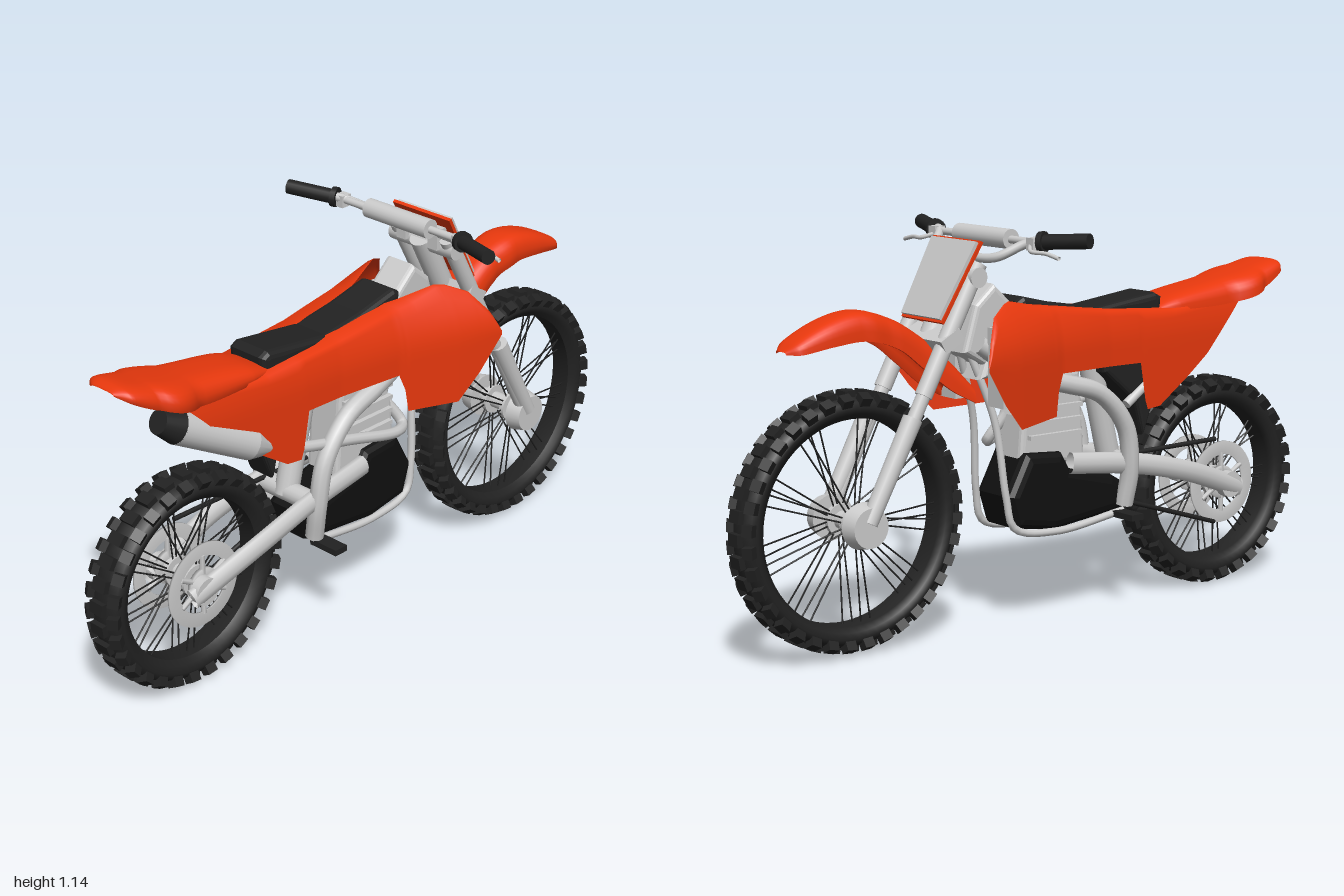
import * as THREE from 'three';
import { mergeGeometries } from 'three/addons/utils/BufferGeometryUtils.js';

const paint = (color) => new THREE.MeshStandardMaterial({ color, side: THREE.DoubleSide });
const V = (x, y, z) => new THREE.Vector3(x, y, z);

export function createModel() {
  const model = new THREE.Group();
  const grey = paint(0xcccccc), orange = paint(0xe8380d), black = paint(0x222222), engineBlack = paint(0x101010);

  const add = (name, geo, mat, parent = model) => {
    const m = new THREE.Mesh(geo, mat);
    m.name = name;
    parent.add(m);
    return m;
  };
  // Straight cylinder between two points
  const rod = (a, b, r1, r2 = r1, sides = 16) => {
    const d = b.clone().sub(a);
    const g = new THREE.CylinderGeometry(r2, r1, d.length(), sides);
    g.applyQuaternion(new THREE.Quaternion().setFromUnitVectors(V(0, 1, 0), d.normalize()));
    return g.translate((a.x + b.x) / 2, (a.y + b.y) / 2, (a.z + b.z) / 2);
  };
  const tube = (pts, r, seg = 40) =>
    new THREE.TubeGeometry(new THREE.CatmullRomCurve3(pts.map((p) => V(...p)), false, 'centripetal'), seg, r, 10);
  const box = (w, h, d, x, y, z) => new THREE.BoxGeometry(w, h, d).translate(x, y, z);
  // Side profile given as (z, y), extruded across x
  const slab = (pts, width, bevel = 0.015) => {
    const g = new THREE.ExtrudeGeometry(new THREE.Shape(pts.map((p) => new THREE.Vector2(...p))), {
      depth: width - 2 * bevel, bevelSize: bevel, bevelThickness: bevel, bevelOffset: -bevel, bevelSegments: 3 });
    return g.translate(0, 0, -width / 2 + bevel).rotateY(-Math.PI / 2);
  };
  // Surface through rows of points
  const loft = (rows) => {
    const n = rows[0].length, pos = rows.flat().flatMap((p) => [p.x, p.y, p.z]), idx = [];
    for (let i = 0; i < rows.length - 1; i++)
      for (let j = 0; j < n - 1; j++) {
        const a = i * n + j, b = a + n;
        idx.push(a, b, a + 1, b, b + 1, a + 1);
      }
    const g = new THREE.BufferGeometry();
    g.setAttribute('position', new THREE.Float32BufferAttribute(pos, 3));
    g.setIndex(idx);
    g.computeVertexNormals();
    return g;
  };
  // Piecewise linear lookup
  const look = (table, z) => {
    let i = 1;
    while (i < table.length - 1 && z > table[i][0]) i++;
    const [a, b] = [table[i - 1], table[i]];
    return THREE.MathUtils.lerp(a[1], b[1], THREE.MathUtils.clamp((z - a[0]) / (b[0] - a[0]), 0, 1));
  };
  const ring = (inner, outer, w, x) => new THREE.LatheGeometry(
    [[inner, -w], [outer, -w], [outer, w], [inner, w], [inner, -w]].map((p) => new THREE.Vector2(...p)), 40)
    .rotateZ(Math.PI / 2).translate(x, 0, 0);
  const axle = (r, w, x = 0) => new THREE.CylinderGeometry(r, r, w, 28).rotateZ(Math.PI / 2).translate(x, 0, 0);

  // Wheels
  const wheel = (name, R, inner, half, y, z, knobs) => {
    const g = new THREE.Group();
    g.name = name;
    g.position.set(0, y, z);
    model.add(g);
    const T = R - 0.014, mid = (T + inner) / 2;
    const profile = [[inner, -half * 0.55], [inner + 0.015, -half * 0.8], [mid, -half * 0.96], [T - 0.015, -half * 0.8],
      [T, -half * 0.35], [T, half * 0.35], [T - 0.015, half * 0.8], [mid, half * 0.96], [inner + 0.015, half * 0.8],
      [inner, half * 0.55], [inner, -half * 0.55]];
    add('tyre', new THREE.LatheGeometry(profile.map((p) => new THREE.Vector2(...p)), 64).rotateZ(Math.PI / 2), black, g);
    const blocks = [], spokes = [];
    for (let i = 0; i < knobs; i++) {
      const a = (i / knobs) * Math.PI * 2, step = Math.PI / knobs;
      blocks.push(new THREE.BoxGeometry(half * 0.85, 0.026, 0.034).translate(0, R - 0.013, 0).rotateX(a));
      for (const s of [-1, 1])
        blocks.push(new THREE.BoxGeometry(half * 0.55, 0.036, 0.032).rotateZ(-s * 0.55)
          .translate(s * half * 0.76, R - 0.026, 0).rotateX(a + step));
    }
    add('treadKnobs', mergeGeometries(blocks), black, g);
    for (let i = 0; i < 36; i++) {
      const a = (i / 36) * Math.PI * 2, b = a + (i % 4 < 2 ? 0.12 : -0.12), s = i % 2 ? 0.035 : -0.035;
      spokes.push(rod(V(s, Math.cos(a) * 0.035, Math.sin(a) * 0.035),
        V(s * 0.2, Math.cos(b) * (inner + 0.005), Math.sin(b) * (inner + 0.005)), 0.0025, 0.0025, 5));
    }
    add('spokes', mergeGeometries(spokes), black, g);
    add('hub', mergeGeometries([axle(0.025, 0.2), axle(0.045, 0.015, 0.035), axle(0.045, 0.015, -0.035)]), grey, g);
    return g;
  };
  const rear = wheel('rearWheel', 0.318, 0.235, 0.058, 0.32, 0.687, 30);
  const front = wheel('frontWheel', 0.36, 0.285, 0.054, 0.37, -0.63, 36);
  for (const s of [-1, 1]) {
    const arms = [0, 1, 2, 3, 4, 5].map((i) =>
      rod(V(s * 0.07, 0.03, 0), V(s * 0.07, 0.09, 0), 0.008, 0.008, 6).rotateX((i * Math.PI) / 3));
    add('rearDisc', mergeGeometries([ring(0.085, 0.125, 0.003, s * 0.07), ring(0.025, 0.05, 0.006, s * 0.07), ...arms]), grey, rear);
    add('axleCap', rod(V(s * 0.07, 0, 0), V(s * 0.115, 0, 0), 0.065, 0.055, 28), grey, front);
  }

  // Front fork, one leg per side
  for (const s of [-1, 1]) {
    const top = V(s * 0.095, 1.05, -0.255), low = V(s * 0.095, 0.36, -0.63);
    const at = (t) => top.clone().lerp(low, t);
    add('forkLeg', mergeGeometries([rod(top, at(0.5), 0.025), rod(at(0.48), low, 0.02)]), grey);
    add('forkGuard', rod(at(0.58).add(V(s * 0.006, 0, -0.01)), at(0.97).add(V(s * 0.006, 0, -0.01)), 0.028, 0.024), grey);
  }
  add('upperClamp', rod(V(-0.12, 1.015, -0.27), V(0.12, 1.015, -0.27), 0.028), grey);
  add('lowerClamp', box(0.24, 0.04, 0.07, 0, 0, 0).rotateX(-0.5).translate(0, 0.85, -0.36), grey);
  add('steeringColumn', rod(V(0, 1.03, -0.25), V(0, 0.83, -0.355), 0.035), grey);

  // Handlebar with pad, grips and levers
  add('handlebar', tube([[-0.37, 1.122, -0.1], [-0.21, 1.113, -0.16], [-0.14, 1.07, -0.23], [0, 1.067, -0.24],
    [0.14, 1.07, -0.23], [0.21, 1.113, -0.16], [0.37, 1.122, -0.1]], 0.013, 80), grey);
  add('crossbar', rod(V(-0.21, 1.112, -0.158), V(0.21, 1.112, -0.158), 0.011), grey);
  add('barPad', rod(V(-0.117, 1.113, -0.158), V(0.117, 1.113, -0.158), 0.028, 0.028, 20), grey);
  for (const s of [-1, 1]) {
    add('grip', mergeGeometries([rod(V(s * 0.24, 1.114, -0.15), V(s * 0.38, 1.124, -0.098), 0.021),
      rod(V(s * 0.235, 1.114, -0.152), V(s * 0.25, 1.115, -0.146), 0.029)]), black);
    add('leverMount', box(0.03, 0.035, 0.035, s * 0.222, 1.108, -0.16), grey);
    add('lever', tube([[s * 0.215, 1.105, -0.17], [s * 0.25, 1.092, -0.195], [s * 0.3, 1.09, -0.185], [s * 0.35, 1.08, -0.18]], 0.006, 16), grey);
    add('barClamp', box(0.035, 0.06, 0.04, s * 0.06, 1.045, -0.25), grey);
  }

  // Number plate: tapered sheet with orange backing
  const plate = (name, w, h, off, mat) => {
    const outline = new THREE.Shape([[-w * 0.86, -h], [w * 0.86, -h], [w, h], [-w, h]].map((p) => new THREE.Vector2(...p)));
    const g = new THREE.ExtrudeGeometry(outline, { depth: 0.01, bevelEnabled: false });
    add(name, g.translate(0, 0, off).rotateX(0.52).translate(0, 1.005, -0.315), mat);
  };
  plate('plateBacking', 0.108, 0.124, -0.002, orange);
  plate('plateFace', 0.102, 0.117, -0.012, grey);

  // Fenders: thin arched section swept along z, rows are [z, top, edge, half width]
  const fender = (name, rows) => {
    const curve = new THREE.CatmullRomCurve3(rows.map((r) => V(r[0], r[1], r[2])));
    const width = new THREE.CatmullRomCurve3(rows.map((r) => V(r[3], 0, 0)));
    const sections = [];
    for (let i = 0; i <= 40; i++) {
      const p = curve.getPoint(i / 40), w = width.getPoint(i / 40).x, sec = [];
      for (let k = 0; k <= 33; k++) {
        const outer = k <= 16, a = (Math.PI * (outer ? k : 33 - k)) / 16, c = Math.cos(a);
        const t = outer ? 0 : Math.min(0.014, (p.y - p.z) * 0.4);
        sec.push(V(-(w - t * 0.6) * Math.sign(c) * Math.abs(c) ** 0.65,
          p.z + (p.y - t - p.z) * Math.max(0, Math.sin(a)) ** 0.65, p.x));
      }
      sections.push([...sec, sec[0].clone()]);
    }
    add(name, loft(sections), orange);
  };
  fender('rearFender', [[0.43, 0.88, 0.86, 0.075], [0.5, 0.905, 0.862, 0.092], [0.7, 0.94, 0.87, 0.1],
    [0.83, 0.967, 0.905, 0.1], [0.91, 0.982, 0.945, 0.085], [0.94, 0.975, 0.965, 0.045]]);
  fender('frontFender', [[-0.83, 0.855, 0.845, 0.025], [-0.8, 0.878, 0.845, 0.055], [-0.7, 0.925, 0.86, 0.066],
    [-0.6, 0.943, 0.865, 0.067], [-0.5, 0.915, 0.835, 0.067], [-0.42, 0.87, 0.775, 0.068],
    [-0.33, 0.8, 0.705, 0.078], [-0.255, 0.72, 0.665, 0.085]]);

  // Side bodywork: shroud, tank side and tail panel in one skin per side
  const bottom = [[-0.33, 0.775], [-0.26, 0.676], [-0.19, 0.6], [-0.03, 0.612], [-0.02, 0.68], [0, 0.73], [0.32, 0.725],
    [0.345, 0.585], [0.4, 0.59], [0.516, 0.666], [0.596, 0.725], [0.676, 0.81], [0.74, 0.872]];
  const topEdge = [[-0.33, 0.787], [-0.3, 0.85], [-0.26, 0.906], [-0.2, 0.935], [-0.17, 0.94], [-0.07, 0.92],
    [0.195, 0.885], [0.46, 0.868], [0.74, 0.88]];
  const halfW = [[-0.33, 0.242], [-0.19, 0.205], [0, 0.15], [0.2, 0.122], [0.4, 0.11], [0.74, 0.092]];
  const innerW = [[-0.33, 0.238], [-0.26, 0.17], [-0.17, 0.12], [0, 0.06], [0.74, 0.04]];
  for (const s of [-1, 1]) {
    const rows = [];
    for (let i = 0; i <= 107; i++) {
      const z = -0.33 + i * 0.01, lo = look(bottom, z), hi = look(topEdge, z), col = [];
      for (let j = 0; j <= 10; j++) {
        const y = lo + (hi - lo) * (j / 10), lean = THREE.MathUtils.clamp((y - 0.78) / 0.16, 0, 1);
        col.push(V(s * look(halfW, z) * (1 - 0.33 * lean * lean), y, z));
      }
      col.push(V(s * Math.min(Math.abs(col[10].x), look(innerW, z)), hi + 0.004, z));
      rows.push(s > 0 ? col.reverse() : col);
    }
    add('sideBodywork', loft(rows), orange);
  }

  // Seat, airbox and mud flap
  add('seat', slab([[0.44, 0.85], [0.445, 0.905], [0.42, 0.918], [0.195, 0.89], [0.06, 0.912], [-0.07, 0.943], [-0.095, 0.93], [-0.08, 0.85]], 0.14, 0.02), black);
  add('airbox', slab([[0.2, 0.86], [0.55, 0.86], [0.42, 0.62], [0.37, 0.5], [0.34, 0.6], [0.22, 0.7]], 0.1).translate(-0.025, 0, 0), black);

  // Engine
  add('crankcase', slab([[0.3, 0.37], [0.25, 0.4], [0.09, 0.44], [0.06, 0.49], [-0.07, 0.5], [-0.135, 0.38], [-0.105, 0.285],
    [0.03, 0.262], [0.29, 0.29]], 0.17, 0.03), engineBlack);
  add('cylinderBlock', slab([[0.16, 0.44], [-0.08, 0.48], [-0.07, 0.6], [-0.02, 0.72], [0.14, 0.72]], 0.12), grey);
  add('coolingFins', mergeGeometries([0, 1, 2, 3].map((i) => box(0.15, 0.012, 0.19, 0, 0.54 + i * 0.04, 0.04))), grey);
  add('shockAbsorber', rod(V(0, 0.82, 0.2), V(0, 0.42, 0.3), 0.035), grey);

  // Frame
  add('headBlock', slab([[-0.05, 0.88], [-0.165, 0.985], [-0.23, 0.93], [-0.27, 0.8], [-0.2, 0.76], [-0.02, 0.78]], 0.11), grey);
  add('fuelTank', slab([[-0.22, 0.72], [-0.15, 0.9], [0, 0.89], [0.2, 0.86], [0.2, 0.74]], 0.13, 0.025), grey);
  for (const s of [-1, 1]) {
    add('frameSpar', tube([[s * 0.09, 0.31, 0.28], [s * 0.11, 0.42, 0.285], [s * 0.115, 0.55, 0.26], [s * 0.11, 0.65, 0.17],
      [s * 0.1, 0.69, 0.05], [s * 0.08, 0.72, -0.06], [s * 0.05, 0.82, -0.22]], 0.027), grey);
    add('cradleTube', tube([[s * 0.02, 0.82, -0.24], [s * 0.05, 0.6, -0.165], [s * 0.07, 0.38, -0.14], [s * 0.075, 0.29, -0.115],
      [s * 0.08, 0.262, 0.03], [s * 0.085, 0.29, 0.28]], 0.011), grey);
    add('subframeTube', rod(V(s * 0.075, 0.6, 0.3), V(s * 0.07, 0.84, 0.65), 0.014), grey);
    // Swingarm, a flattened tube bowing out ahead of the wheel
    add('swingarm', tube([[0, 0.455, 0.08], [0, 0.43, 0.3], [0, 0.385, 0.5], [0, 0.3, 0.74]].map((p, i) =>
      [s * [0.085, 0.1, 0.107, 0.085][i] / 0.7, p[1], p[2]]), 0.032).scale(0.7, 1, 1), grey);
    add('swingarmEnd', rod(V(s * 0.075, 0.315, 0.7), V(s * 0.105, 0.315, 0.7), 0.04), grey);
    add('footPeg', box(0.1, 0.018, 0.045, s * 0.125, 0.286, 0.26), black);
    add('radiator', box(0.07, 0.22, 0.035, s * 0.11, 0.76, -0.19), grey);
  }
  add('swingarmBridge', rod(V(-0.1, 0.43, 0.3), V(0.1, 0.43, 0.3), 0.03), grey);
  add('chain', mergeGeometries([rod(V(-0.07, 0.455, 0.66), V(-0.07, 0.45, 0.15), 0.007),
    rod(V(-0.07, 0.2, 0.66), V(-0.07, 0.36, 0.15), 0.007)]), black);

  // Exhaust on the left side
  add('headerPipe', tube([[0.03, 0.6, -0.06], [0.07, 0.52, -0.1], [0.1, 0.52, -0.05], [0.105, 0.57, 0.15], [0.095, 0.62, 0.36], [0.085, 0.65, 0.44]], 0.016), grey);
  add('silencer', mergeGeometries([rod(V(0.085, 0.65, 0.44), V(0.075, 0.685, 0.51), 0.02, 0.048), rod(V(0.075, 0.685, 0.51), V(0.045, 0.81, 0.74), 0.048, 0.05, 24)]), grey);
  add('silencerTip', rod(V(0.045, 0.81, 0.74), V(0.04, 0.84, 0.795), 0.05, 0.034, 24), black);
  return model;
}
